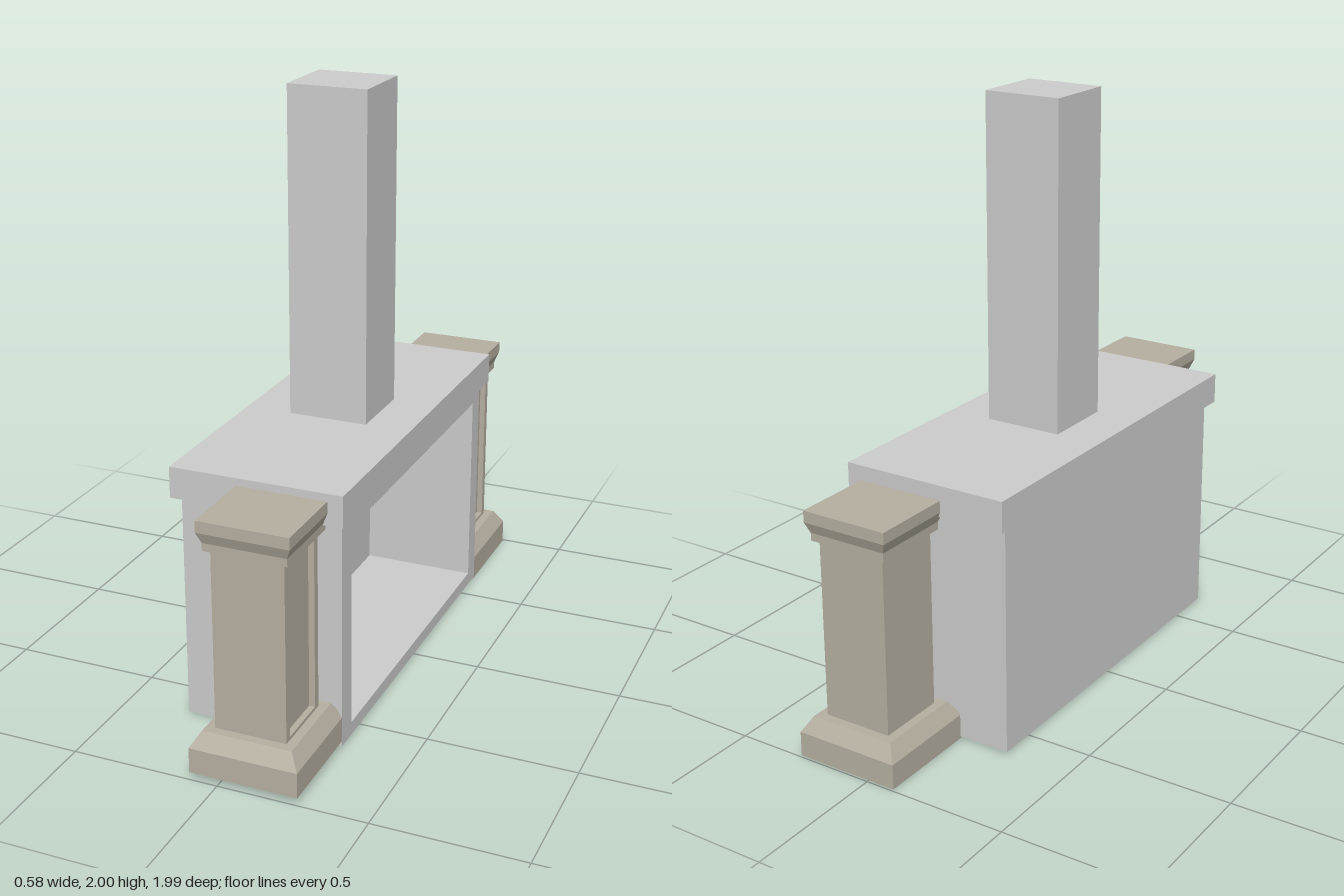
import * as THREE from 'three';

const grey = new THREE.MeshStandardMaterial({ color: 0xcccccc, flatShading: true });
const stone = new THREE.MeshStandardMaterial({ color: 0xb5afa0, flatShading: true });

function add(parent, name, geometry, material) {
  const mesh = new THREE.Mesh(geometry, material);
  mesh.name = name;
  parent.add(mesh);
  return mesh;
}

// Box given by its lower and upper limits on each axis
function box(x0, x1, y0, y1, z0, z1) {
  return new THREE.BoxGeometry(x1 - x0, y1 - y0, z1 - z0)
    .translate((x0 + x1) / 2, (y0 + y1) / 2, (z0 + z1) / 2);
}

function rect(Type, a0, a1, b0, b1) {
  return new Type([[a0, b0], [a1, b0], [a1, b1], [a0, b1]].map(p => new THREE.Vector2(...p)));
}

// Rectangular frame in the z-y plane, extruded along x; outer and inner are [z0, z1, y0, y1]
function frame(outer, inner, x0, x1) {
  const flip = ([z0, z1, y0, y1]) => [-z1, -z0, y0, y1];
  const shape = rect(THREE.Shape, ...flip(outer));
  shape.holes.push(rect(THREE.Path, ...flip(inner)));
  return new THREE.ExtrudeGeometry(shape, { depth: x1 - x0, bevelEnabled: false })
    .rotateY(Math.PI / 2).translate(x0, 0, 0);
}

// Square moulding from [half width, height] pairs
function moulding(profile) {
  const points = profile.map(([h, y]) => new THREE.Vector2(h * Math.SQRT2, y));
  return new THREE.LatheGeometry(points, 4).rotateY(Math.PI / 4).toNonIndexed();
}

function createPillar(name) {
  const pillar = new THREE.Group();
  pillar.name = name;
  add(pillar, 'base', moulding([[0, 0], [0.182, 0], [0.182, 0.085], [0.15, 0.137], [0, 0.137]]), stone);
  // Shaft with a sunken panel on its +x side
  add(pillar, 'shaft', box(-0.12, 0.1, 0.13, 0.745, -0.12, 0.12), stone);
  add(pillar, 'shaftPanelFrame',
    frame([-0.12, 0.12, 0.13, 0.745], [-0.094, 0.094, 0.148, 0.732], 0.1, 0.12), stone);
  add(pillar, 'capital', moulding([[0, 0.741], [0.138, 0.741], [0.138, 0.767],
    [0.152, 0.803], [0.152, 0.842], [0, 0.842]]), stone);
  return pillar;
}

export function createModel() {
  const model = new THREE.Group();
  model.name = 'fireplace';

  // Firebox: a deep frame open to +x with a thick back
  add(model, 'fireboxBack', box(-0.275, -0.13, 0.01, 0.79, -0.635, 0.655), grey);
  add(model, 'fireboxFloor', box(-0.13, 0.27, 0.01, 0.055, -0.635, 0.655), grey);
  for (const [name, z0, z1] of [['rearCheek', -0.635, -0.565], ['frontCheek', 0.58, 0.655]])
    add(model, name, box(-0.13, 0.27, 0.055, 0.79, z0, z1), grey);

  // Firebox ceiling with a flue opening
  const ceiling = rect(THREE.Shape, -0.13, 0.27, -0.58, 0.565);
  ceiling.holes.push(rect(THREE.Path, 0, 0.18, -0.14, 0.14));
  add(model, 'fireboxCeiling', new THREE.ExtrudeGeometry(ceiling, { depth: 0.05, bevelEnabled: false })
    .rotateX(-Math.PI / 2).translate(0, 0.74, 0), grey);

  add(model, 'mantelSlab', box(-0.295, 0.29, 0.79, 0.895, -0.68, 0.695), grey);
  add(model, 'chimney', box(-0.137, 0.135, 0.895, 2, -0.12, 0.135), grey);

  // Pillars at both ends, the front one standing slightly higher
  const front = createPillar('frontPillar');
  front.position.set(0.087, 0.028, 0.817);
  const rear = createPillar('rearPillar');
  rear.position.set(0.087, 0.003, -0.81);
  model.add(front, rear);
  return model;
}
